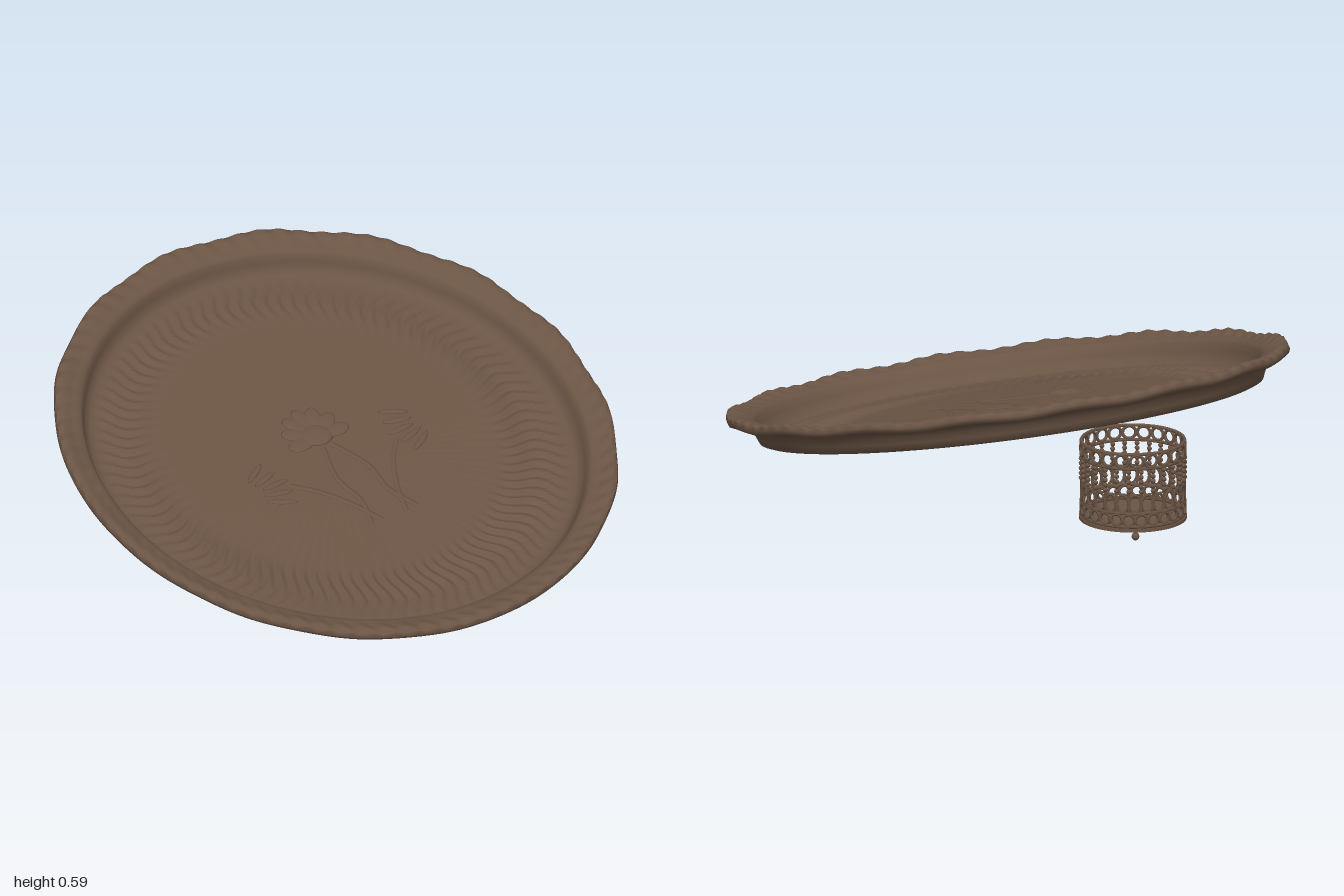
import * as THREE from 'three';
import { mergeVertices, toCreasedNormals } from 'three/addons/utils/BufferGeometryUtils.js';

const bronze = new THREE.MeshStandardMaterial({ color: 0x6b5545 });
bronze.name = 'agedBronze';

function add(parent, name, geometry, x = 0, y = 0, z = 0) {
  const mesh = new THREE.Mesh(geometry, bronze);
  mesh.name = name;
  mesh.position.set(x, y, z);
  parent.add(mesh);
  return mesh;
}

// Dish turned from one profile, then scalloped, roped and fluted
function trayGeometry() {
  const profile = [
    [0, 0], [0.5, 0], [0.875, 0], [0.89, 0.006], [0.9, 0.03], [0.912, 0.055], [0.93, 0.07],
    [0.955, 0.077], [0.98, 0.079], [0.995, 0.086], [1, 0.1], [0.995, 0.113], [0.98, 0.119],
    [0.962, 0.116], [0.945, 0.108], [0.925, 0.102], [0.905, 0.098], [0.893, 0.085],
    [0.886, 0.06], [0.877, 0.036], [0.86, 0.02],
  ];
  const rimStart = 6, floorStart = profile.length;
  for (let r = 0.84; r > 0.55; r -= 0.02) profile.push([r, 0.015]);
  profile.push([0.3, 0.015], [0, 0.015]);
  const geo = new THREE.LatheGeometry(profile.map(([r, y]) => new THREE.Vector2(r, y)), 480);
  const pos = geo.attributes.position;
  for (let i = 0; i < pos.count; i++) {
    const k = i % profile.length;
    let x = pos.getX(i), y = pos.getY(i), z = pos.getZ(i);
    const r = Math.hypot(x, z), a = Math.atan2(z, x);
    if (k >= floorStart) {
      // wavy flutes fading toward the plain middle
      const inner = Math.hypot(x, z + 0.06);
      const fade = THREE.MathUtils.smoothstep(inner, 0.58, 0.7) * (1 - THREE.MathUtils.smoothstep(r, 0.8, 0.85));
      y += 0.006 * fade * Math.sin(a * 96 + 2.5 * Math.sin(r * 28));
    } else if (k >= rimStart && k <= 16) {
      const w = THREE.MathUtils.smoothstep(r, 0.9, 0.98);
      const lobe = Math.cos(a * 16);
      y += 0.005 * w * lobe;
      if (k >= 11 && k <= 14) y += 0.003 * Math.sin(a * 80 + r * 60);
      x *= 1 + 0.003 * w * (lobe - 1);
      z *= 1 + 0.003 * w * (lobe - 1);
    }
    pos.setXYZ(i, x, y, z);
  }
  geo.deleteAttribute('uv');
  geo.deleteAttribute('normal');
  return toCreasedNormals(mergeVertices(geo), 0.8);
}

// Shallow floral relief on the dish floor
function addRelief(tray) {
  const relief = new THREE.Group();
  relief.name = 'floralRelief';
  relief.position.y = 0.015;
  tray.add(relief);
  const bump = new THREE.SphereGeometry(1, 16, 8);
  const petal = (name, x, z, w, l, turn, h = 0.006) => {
    const m = add(relief, name, bump, x, 0, z);
    m.scale.set(w, h, l);
    m.rotation.y = turn;
  };
  petal('flowerHeart', 0, -0.09, 0.06, 0.05, 0, 0.009);
  for (let i = 0; i < 7; i++) {
    const a = Math.PI * (1 + i / 6);
    petal('flowerPetal', Math.cos(a) * 0.08, -0.08 + Math.sin(a) * 0.1, 0.03, 0.05, Math.PI / 2 - a);
  }
  for (const s of [-1, 1]) {
    for (let i = 0; i < 5; i++) {
      petal('sideLeaf', s * (0.28 + 0.015 * Math.abs(i - 2)), -0.05 + i * 0.04, 0.055, 0.012, s * (i - 2) * 0.25);
    }
    const stems = [
      [[0.02, -0.03], [0.07, 0.12], [0.06, 0.24], [0.1, 0.36]],
      [[0.24, 0.06], [0.17, 0.13], [0.1, 0.24], [0.05, 0.36]],
    ];
    for (const path of stems) {
      const curve = new THREE.CatmullRomCurve3(path.map(([x, z]) => new THREE.Vector3(s * x, 0, z)));
      add(relief, 'stem', new THREE.TubeGeometry(curve, 20, 0.011, 6)).scale.y = 0.45;
    }
  }
}

// Small openwork cup with beaded columns and chain bands
function addBasket(parent) {
  const basket = new THREE.Group();
  basket.name = 'openworkBasket';
  basket.position.set(0, 0, -0.735);
  parent.add(basket);
  const R = 0.182;
  add(basket, 'basePlate', new THREE.CylinderGeometry(0.19, 0.19, 0.012, 48), 0, 0.037, 0);

  for (const [y, t] of [[0.05, 0.007], [0.098, 0.006], [0.168, 0.003], [0.262, 0.006], [0.315, 0.006]]) {
    const rail = add(basket, 'rail', new THREE.TorusGeometry(R, t, 6, 48), 0, y, 0);
    rail.rotation.x = Math.PI / 2;
  }

  const band = (name, y, radius, tube, count, stretch, shift = 0) => {
    const link = new THREE.TorusGeometry(radius, tube, 5, 14);
    for (let i = 0; i < count; i++) {
      const a = ((i + shift) / count) * Math.PI * 2;
      const m = add(basket, name, link, Math.sin(a) * R, y, Math.cos(a) * R);
      m.rotation.y = a;
      m.scale.y = stretch;
    }
  };
  band('upperBandRing', 0.289, 0.023, 0.006, 22, 1);
  band('lowerBandRing', 0.074, 0.02, 0.006, 26, 1);
  band('latticeRing', 0.133, 0.02, 0.004, 26, 1.6, 0.5);

  const bead = new THREE.SphereGeometry(0.009, 8, 6);
  const rod = new THREE.CylinderGeometry(0.004, 0.004, 0.16, 6);
  for (let i = 0; i < 26; i++) {
    const a = (i / 26) * Math.PI * 2, x = Math.sin(a) * R, z = Math.cos(a) * R;
    add(basket, 'columnRod', rod, x, 0.18, z);
    for (let j = 0; j < 5; j++) add(basket, 'columnBead', bead, x, 0.178 + j * 0.018, z);
  }

  // ball feet
  for (const [x, z] of [[-0.17, -0.055], [0.1, -0.148]]) {
    add(basket, 'foot', new THREE.SphereGeometry(0.014, 14, 10), x, 0.014, z);
    add(basket, 'footStem', new THREE.CylinderGeometry(0.007, 0.007, 0.02, 8), x, 0.028, z);
  }
}

export function createModel() {
  const model = new THREE.Group();
  const tray = new THREE.Group();
  tray.name = 'tray';
  tray.position.set(0, 0.25, -0.025);
  tray.rotation.x = 0.218;
  tray.scale.z = 1.013;
  model.add(tray);
  add(tray, 'dish', trayGeometry());
  addRelief(tray);
  addBasket(model);
  return model;
}
